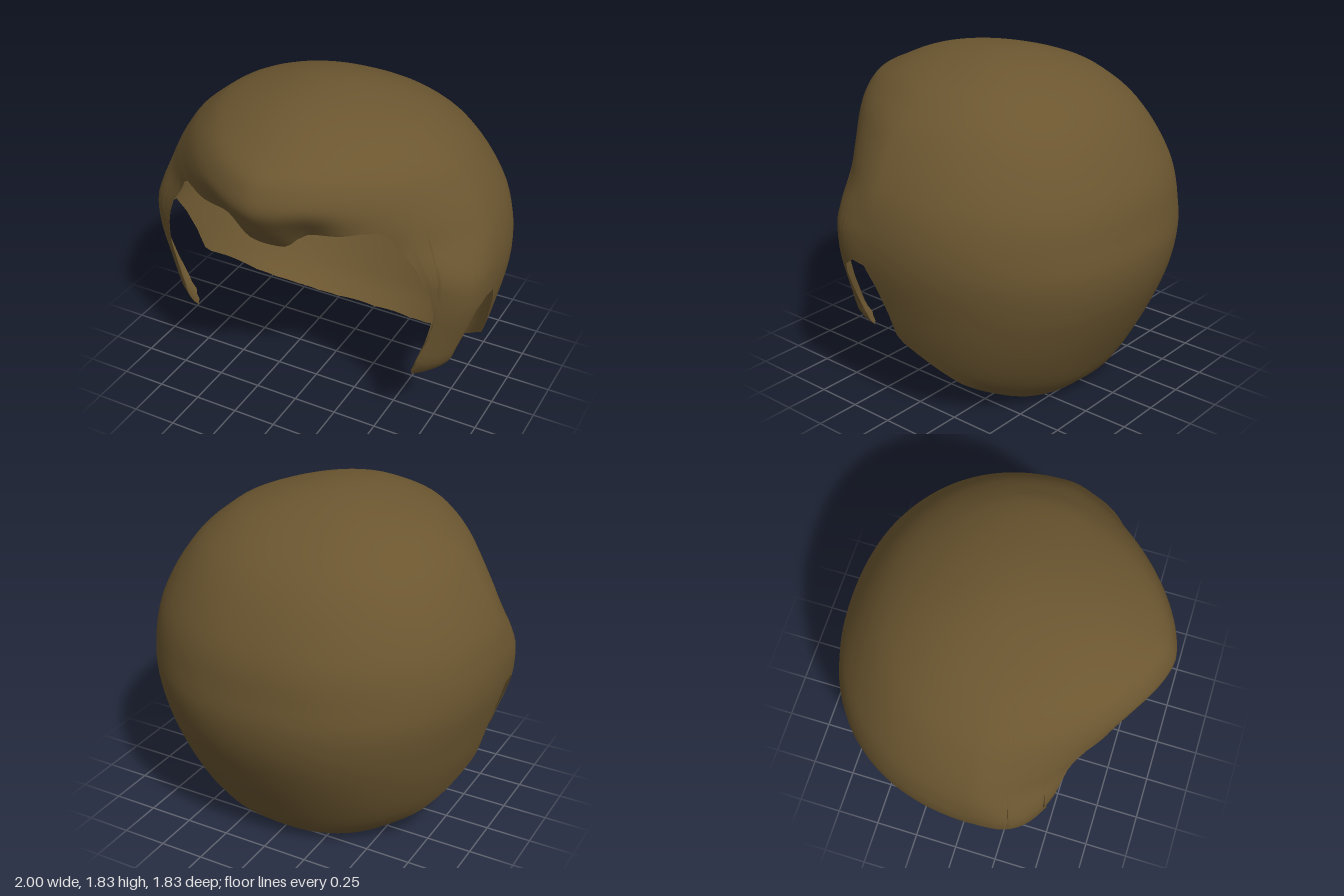
import * as THREE from 'three';
import { mergeVertices } from 'three/addons/utils/BufferGeometryUtils.js';

const TOP = 1.83, Z0 = 0.1; // crown height, axis offset

// Horizontal sections: height, half width, front depth, back depth, front roundness
const SECTIONS = [
  [1.83, 0, 0, 0, 2],
  [1.79, 0.29, 0.36, 0.28, 1.9],
  [1.7, 0.55, 0.6, 0.505, 1.75],
  [1.635, 0.645, 0.735, 0.615, 1.65],
  [1.55, 0.745, 0.795, 0.72, 1.6],
  [1.45, 0.825, 0.815, 0.805, 1.55],
  [1.34, 0.895, 0.76, 0.875, 1.6],
  [1.2, 0.96, 0.66, 0.945, 1.8],
  [1.1, 0.985, 0.56, 0.975, 2.4],
  [1.0, 1.0, 0.485, 0.99, 3.1],
  [0.85, 0.995, 0.465, 1.01, 3.2],
  [0.65, 0.955, 0.48, 0.98, 2.8],
  [0.42, 0.895, 0.515, 0.89, 2.4],
  [0.2, 0.8, 0.5, 0.78, 2.4],
  [0.08, 0.68, 0.5, 0.71, 2.4],
  [0, 0.6, 0.5, 0.62, 2.4],
];

// Lower edge, from the front centre round to the back: angle in degrees, height
const RIM = [
  [0, 1.2], [8.8, 1.2], [12, 1.225], [15.1, 1.265], [20, 1.305], [32, 1.325], [40, 1.343], [47.5, 1.34],
  [52, 1.3], [56, 1.22], [59.6, 1.13], [64, 0.95], [65.5, 0.8], [66, 0.44], [67.5, 0.385], // forehead and temple
  [72, 0.365], [76, 0.385], [77.3, 0.45], [77.7, 0.75], // sideburn
  [79, 0.82], [83.4, 0.87], [88.2, 0.86], [91.8, 0.75], [94.8, 0.6], [96.3, 0.47], // ear notch
  [98.4, 0.43], [106.8, 0.335], [117.8, 0.2], [126, 0.135], [136, 0.08], [146, 0.04], [157, 0.015], [180, 0], // nape
];

const smooth = THREE.MathUtils.smoothstep;
const q = (y) => Math.sqrt(Math.max(0, TOP - y));

// Smooth interpolation of the sections, spaced so that the crown is round
function sectionAt(y) {
  const last = SECTIONS.length - 1;
  let i = 0;
  while (i < last - 1 && y < SECTIONS[i + 1][0]) i++;
  const slope = (k, c) => {
    const a = SECTIONS[Math.max(0, k - 1)], b = SECTIONS[Math.min(last, k + 1)];
    return (b[c] - a[c]) / (q(b[0]) - q(a[0]));
  };
  const A = SECTIONS[i], B = SECTIONS[i + 1], h = q(B[0]) - q(A[0]);
  const t = (q(y) - q(A[0])) / h, t2 = t * t, t3 = t2 * t;
  return [1, 2, 3, 4].map((c) => (2 * t3 - 3 * t2 + 1) * A[c] + (t3 - 2 * t2 + t) * h * slope(i, c)
    + (3 * t2 - 2 * t3) * B[c] + (t3 - t2) * h * slope(i + 1, c));
}

// Point on the shell at an angle and height
function shellPoint(deg, y) {
  const [w, front, back, n] = sectionAt(y);
  if (w < 1e-6) return [0, y, Z0];
  let a = Math.abs(deg);
  // hollows on both sides of the forelock
  let scale = 1 - 0.075 * Math.exp(-(((a - 21) / 10) ** 2)) * (1 - smooth(y, 1.27, 1.5));
  if (a < 78) {
    // sideburn: swells below its neck, back edge and tip curl inward
    const k = (a - 71.8) / 5.9, low = 1 - smooth(y, 0.48, 0.72);
    scale -= 0.04 * low * Math.max(0, k) ** 4 + 0.08 * (Math.max(0, 0.5 - y) / 0.135) ** 2;
    a += low * (2.2 * k - 1.6);
  }
  const rad = THREE.MathUtils.degToRad(a), s = Math.sin(rad), c = Math.cos(rad);
  const e = c > 0 ? n : 2.2, d = c > 0 ? front : back;
  const r = scale * ((s / w) ** e + (Math.abs(c) / d) ** e) ** (-1 / e);
  return [Math.sign(deg) * r * s, y, Z0 + r * c];
}

// Columns of one half, refined between rim points, then mirrored
function rimColumns() {
  const half = [];
  for (let i = 0; i < RIM.length - 1; i++) {
    const [a0, y0] = RIM[i], [a1, y1] = RIM[i + 1];
    const steps = Math.max(2, Math.ceil((a1 - a0) / 3));
    for (let k = 0; k < steps; k++) {
      const t = k / steps;
      half.push([a0 + (a1 - a0) * t, y0 + (y1 - y0) * t]);
    }
  }
  half.push(RIM[RIM.length - 1]);
  return [...half.slice(1).reverse().map(([a, y]) => [-a, y]), ...half];
}

function hairGeometry(rows = 40) {
  const columns = rimColumns(), pos = [], index = [];
  columns.forEach(([a, rim], i) => {
    for (let j = 0; j <= rows; j++) {
      const y = j === 0 ? TOP : rim + (TOP - rim) * Math.cos((j / rows) * Math.PI / 2);
      pos.push(...shellPoint(a, y));
      if (i === columns.length - 1 || j === rows) continue;
      const p = i * (rows + 1) + j, n = p + rows + 1;
      if (j > 0) index.push(p, n + 1, n);
      index.push(p, p + 1, n + 1);
    }
  });
  const g = new THREE.BufferGeometry();
  g.setAttribute('position', new THREE.Float32BufferAttribute(pos, 3));
  g.setIndex(index);
  const merged = mergeVertices(g, 1e-5); // closes the crown and the back seam
  merged.computeVertexNormals();
  return merged;
}

export function createModel() {
  const group = new THREE.Group();
  group.name = 'hair';
  const material = new THREE.MeshStandardMaterial({ color: 0x6b5630, side: THREE.DoubleSide });
  const shell = new THREE.Mesh(hairGeometry(), material);
  shell.name = 'hairShell';
  group.add(shell);
  return group;
}
